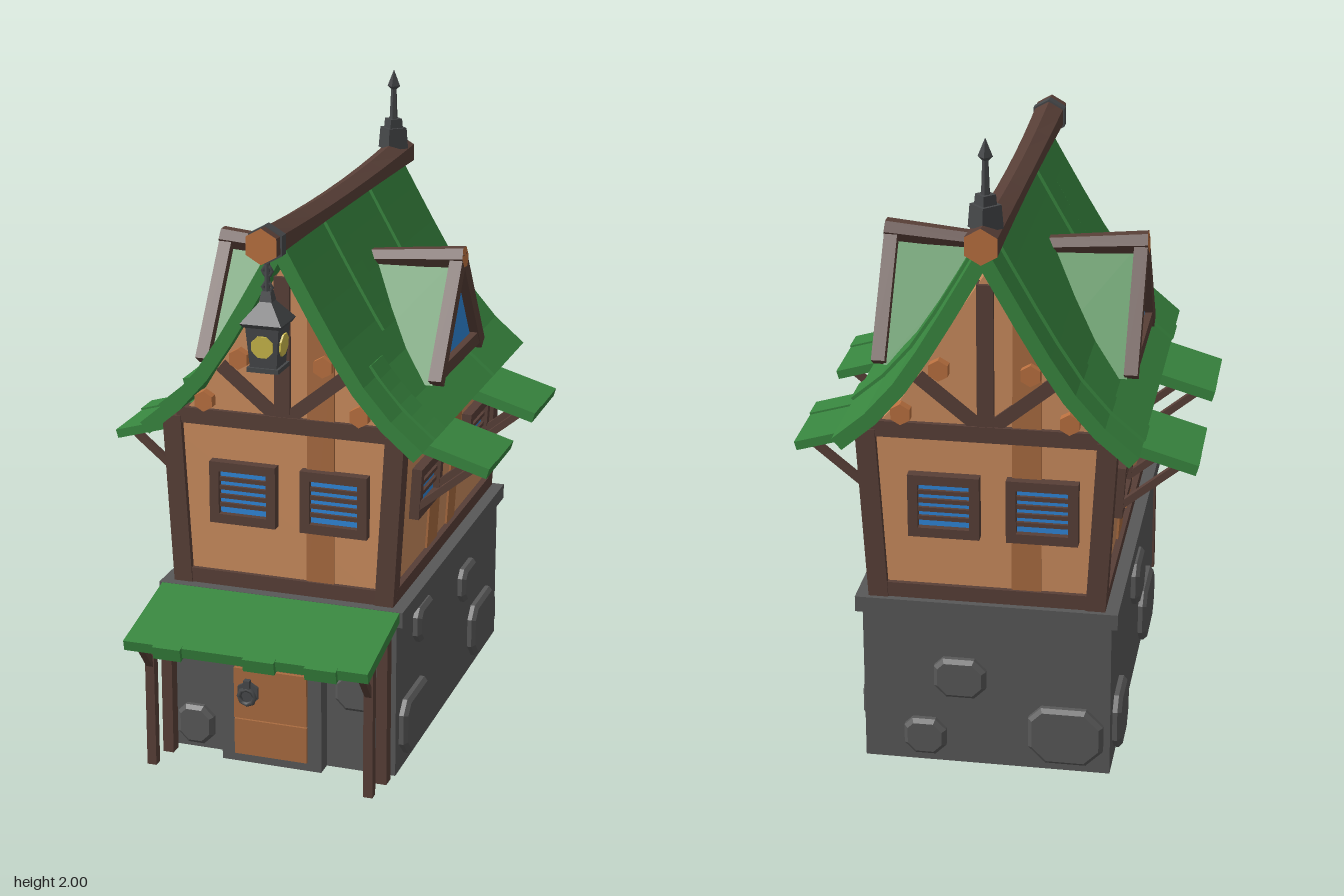
import * as THREE from 'three';

const mat = (name, color) => Object.assign(new THREE.MeshStandardMaterial({ color }), { name });
const M = {
  stone: mat('stone', 0x585858), iron: mat('iron', 0x46484a), timber: mat('timber', 0x583f37),
  wall: mat('wallBoards', 0xca8b5d), plank: mat('darkBoards', 0xa96b40), end: mat('endGrain', 0xb9703f),
  roof: mat('greenRoof', 0x38863f), glass: mat('blueGlass', 0x2f86d8), glow: mat('lampGlow', 0xcdbb4c),
};
const ZC = -0.155; // centre of the upper storey

function add(parent, name, geo, material, x = 0, y = 0, z = 0) {
  const m = new THREE.Mesh(geo, material);
  m.name = name;
  m.position.set(x, y, z);
  parent.add(m);
  return m;
}
function group(parent, name, x = 0, y = 0, z = 0, ry = 0) {
  const g = new THREE.Group();
  g.name = name;
  g.position.set(x, y, z);
  g.rotation.y = ry;
  parent.add(g);
  return g;
}
const box = (p, name, m, w, h, d, x, y, z) => add(p, name, new THREE.BoxGeometry(w, h, d), m, x, y, z);
const flat = (geo) => {
  const g = geo.toNonIndexed();
  g.computeVertexNormals();
  return g;
};
const cyl = (r1, r2, h, n) => flat(new THREE.CylinderGeometry(r1, r2, h, n));

// square beam between two points
function beam(p, name, m, a, b, w, d) {
  const A = new THREE.Vector3(...a), B = new THREE.Vector3(...b), D = B.clone().sub(A);
  const mesh = box(p, name, m, w, D.length(), d, 0, 0, 0);
  mesh.position.copy(A).add(B).multiplyScalar(0.5);
  mesh.quaternion.setFromUnitVectors(new THREE.Vector3(0, 1, 0), D.normalize());
}
function extrude(points, depth) {
  const s = new THREE.Shape(points.map(([x, y]) => new THREE.Vector2(x, y)));
  return new THREE.ExtrudeGeometry(s, { depth, bevelEnabled: false });
}

// curved roof section: a band between two offsets from the slope line
const slope = new THREE.SplineCurve([[0, 1.71], [0.13, 1.48], [0.25, 1.285], [0.35, 1.165], [0.455, 1.075]]
  .map(([x, y]) => new THREE.Vector2(x, y)));
function roofBand(p, name, t0, t1, lo, hi, z0, z1) {
  const n = 6, outer = [], inner = [];
  for (let i = 0; i <= n; i++) {
    const t = Math.min(1, t0 + (t1 - t0) * i / n), q = slope.getPointAt(t), d = slope.getTangentAt(t);
    outer.push([q.x - d.y * hi, q.y + d.x * hi]);
    inner.unshift([q.x - d.y * lo, q.y + d.x * lo]);
  }
  add(p, name, extrude([...outer, ...inner], z1 - z0), M.roof, 0, 0, z0);
}

// framed window with slats, facing +z
function windowUnit(p, x, y, z, ry, w, h, slats) {
  const g = group(p, 'window', x, y, z, ry), f = 0.03;
  box(g, 'glass', M.glass, w - f, h - f, 0.012, 0, 0, 0.006);
  for (const s of [-1, 1]) {
    box(g, 'frameSide', M.timber, f, h, 0.035, s * (w - f) / 2, 0, 0.015);
    box(g, 'frameRail', M.timber, w, f, 0.035, 0, s * (h - f) / 2, 0.015);
  }
  for (let i = 1; i <= slats; i++)
    box(g, 'slat', M.timber, w - f, 0.013, 0.02, 0, (h - 2 * f) * (i / (slats + 1) - 0.5), 0.012);
}

// chamfered block set on a wall facing +z
function stoneBlock(p, [x, y, w, h]) {
  const a = w / 2 - 0.012, b = h / 2 - 0.012, c = Math.min(a, b) * 0.55;
  const s = new THREE.Shape([[a, -b + c], [a, b - c], [a - c, b], [-a + c * 0.7, b], [-a, b - c * 0.7],
    [-a, -b + c], [-a + c, -b], [a - c, -b]].map((q) => new THREE.Vector2(...q)));
  add(p, 'stoneBlock', new THREE.ExtrudeGeometry(s, { depth: 0.02, bevelSize: 0.012, bevelThickness: 0.012, bevelSegments: 1 }),
    M.stone, x, y, 0);
}

function buildBase(root) {
  box(root, 'stoneBase', M.stone, 0.76, 0.51, 1.195, 0, 0.255, -0.1425);
  box(root, 'stoneLedge', M.stone, 0.8, 0.05, 1.215, 0, 0.53, -0.147);
  const sides = [
    [0, 0.5975, [[0.265, 0.27, 0.155, 0.12], [-0.28, 0.085, 0.12, 0.13]]],
    [Math.PI / 2, 0.38, [[-0.3375, 0.43, 0.17, 0.12], [0.1825, 0.36, 0.17, 0.12], [-0.4225, 0.135, 0.28, 0.19], [0.3725, 0.135, 0.28, 0.19]]],
    [Math.PI, 0.5975, [[-0.08, 0.3, 0.16, 0.13], [-0.19, 0.09, 0.13, 0.12], [0.245, 0.125, 0.23, 0.19]]],
    [-Math.PI / 2, 0.38, [[-0.43, 0.125, 0.22, 0.19], [0.02, 0.37, 0.2, 0.15], [0.3, 0.125, 0.28, 0.19]]],
  ];
  for (const [ry, dist, list] of sides) {
    const g = group(root, 'wallStones', 0, 0, -0.1425, ry), face = group(g, 'face', 0, 0, dist - 0.005);
    list.forEach((s) => stoneBlock(face, s));
  }
}

function buildPorch(root) {
  box(root, 'doorSurround', M.stone, 0.33, 0.49, 0.06, -0.01, 0.245, 0.48);
  [[0.09, 0.12], [0.24, 0.17], [0.395, 0.13]].forEach(([y, h], i) =>
    box(root, 'doorBoard', M.plank, 0.24, h, 0.016 + 0.004 * (i % 2), -0.01, y, 0.512));
  const plate = add(root, 'handlePlate', cyl(0.038, 0.038, 0.014, 6), M.iron, -0.08, 0.25, 0.527);
  plate.rotation.x = Math.PI / 2;
  add(root, 'handleRing', new THREE.TorusGeometry(0.026, 0.008, 5, 8), M.iron, -0.08, 0.24, 0.541);
  box(root, 'handleKnob', M.iron, 0.02, 0.03, 0.02, -0.08, 0.28, 0.537);
  // sloping canopy with raised boards
  const g = group(root, 'porchRoof', 0, 0.503, 0.615);
  g.rotation.x = 0.215;
  box(g, 'canopy', M.roof, 0.78, 0.034, 0.325, 0, 0, 0);
  for (const [x, w] of [[-0.245, 0.09], [0.05, 0.1], [0.245, 0.1]])
    box(g, 'canopyBoard', M.roof, w, 0.042, 0.025, x, -0.002, 0.164);
  for (const s of [-1, 1]) {
    box(root, 'frontPost', M.timber, 0.03, 0.46, 0.03, s * 0.355, 0.25, 0.645);
    beam(root, 'postBrace', M.timber, [s * 0.355, 0.36, 0.65], [s * 0.355, 0.465, 0.735], 0.022, 0.022);
    box(root, 'rearPost', M.timber, 0.035, 0.5, 0.042, s * 0.355, 0.25, 0.503);
  }
}

// timbered gable end, facing +z
function buildGable(root, ry) {
  const g = group(root, 'gableEnd', 0, 0, ZC, ry), z = 0.555;
  const board = extrude([[0.075, 0.58], [0.165, 0.58], [0.165, 1.34], [0.08, 1.46]], 0.008);
  add(g, 'darkBoard', board, M.plank, 0, 0, 0.564);
  for (const s of [-1, 1]) {
    beam(g, 'cornerPost', M.timber, [s * 0.33, 0.55, z], [s * 0.36, 1.1, z], 0.06, 0.06);
    beam(g, 'gableBrace', M.timber, [s * 0.01, 1.12, z], [s * 0.2, 1.275, z], 0.042, 0.04);
    for (const [x, y] of [[0.135, 1.305], [0.25, 1.16]]) {
      const log = add(g, 'logEnd', cyl(0.033, 0.033, 0.06, 6), M.end, s * x, y, 0.565);
      log.rotation.x = Math.PI / 2;
    }
  }
  box(g, 'sillBeam', M.timber, 0.66, 0.05, 0.05, 0, 0.577, z);
  box(g, 'tieBeam', M.timber, 0.69, 0.05, 0.05, 0, 1.105, z);
  box(g, 'kingPost', M.timber, 0.05, 0.45, 0.045, 0, 1.345, z);
  windowUnit(g, -0.125, 0.87, 0.565, 0, 0.215, 0.2, 4);
  windowUnit(g, 0.17, 0.87, 0.565, 0, 0.215, 0.2, 4);
}

// one long side with its roof slope, awnings and dormer, facing +x
function buildSide(root, ry, strips) {
  const g = group(root, 'longSide', 0, 0, ZC, ry);
  roofBand(g, 'roofSlope', 0, 1, -0.045, 0, -0.607, 0.607);
  for (const [z0, z1, t0, t1] of strips) roofBand(g, 'roofBoard', t0, t1, -0.02, 0.01, z0, z1);

  const wall = group(g, 'leaningWall', 0.34, 0.55, 0);
  wall.rotation.z = -0.057;
  box(wall, 'sideSill', M.timber, 0.04, 0.05, 1.1, 0, 0.027, 0);
  box(wall, 'darkBoard', M.plank, 0.014, 0.52, 0.115, 0, 0.26, 0.127);
  box(wall, 'darkBoard', M.plank, 0.014, 0.52, 0.09, 0, 0.26, -0.09);
  for (const z of [0.28, -0.29]) {
    windowUnit(wall, 0, 0.315, z, Math.PI / 2, 0.25, 0.165, 2);
    const a = group(g, 'awning', 0.49, 1.0, z);
    a.rotation.z = -0.284;
    box(a, 'awningRoof', M.roof, 0.25, 0.028, 0.29, 0, 0, 0);
    box(a, 'awningBoard', M.roof, 0.24, 0.034, 0.09, 0.005, 0.003, 0.11);
    for (const s of [-1, 1])
      beam(g, 'awningStrut', M.timber, [0.355, 0.8, z + s * 0.11], [0.555, 0.965, z + s * 0.11], 0.022, 0.022);
  }

  // triangular dormer
  const body = extrude([[-0.235, 1.165], [0.235, 1.165], [0, 1.51]], 0.305).rotateY(Math.PI / 2);
  add(g, 'dormerRoof', body, M.roof, 0.07, 0, 0);
  const pane = extrude([[-0.19, 1.19], [0.19, 1.19], [0, 1.47]], 0.008).rotateY(Math.PI / 2);
  add(g, 'dormerGlass', pane, M.glass, 0.375, 0, 0);
  for (const s of [-1, 1])
    beam(g, 'dormerRafter', M.timber, [0.388, 1.525, 0], [0.388, 1.175, s * 0.24], 0.042, 0.045);
  box(g, 'dormerSill', M.timber, 0.036, 0.042, 0.42, 0.388, 1.205, 0);
  const ridge = add(g, 'dormerRidge', cyl(0.036, 0.03, 0.31, 6), [M.timber, M.end, M.timber], 0.255, 1.512, 0);
  ridge.rotation.z = -Math.PI / 2 + 0.08;
}

function buildRidge(root) {
  // sagging hexagonal ridge log, thicker at the ends
  const geo = new THREE.CylinderGeometry(0.055, 0.055, 1.385, 6, 8).rotateX(Math.PI / 2);
  const p = geo.attributes.position;
  for (let i = 0; i < p.count; i++) {
    const u = p.getZ(i) / 0.6925, k = 0.68 + 0.32 * u * u;
    p.setXYZ(i, p.getX(i) * (0.85 + 0.15 * u * u), p.getY(i) * k + 0.01 * u * u, p.getZ(i));
  }
  add(root, 'ridgeLog', flat(geo), [M.timber, M.end, M.end], 0, 1.695, -0.0975);

  // finial
  const f = group(root, 'finial', 0, 0, -0.705);
  add(f, 'finialBase', cyl(0.046, 0.052, 0.07, 4), M.iron, 0, 1.77, 0);
  add(f, 'finialCollar', cyl(0.03, 0.034, 0.04, 4), M.iron, 0, 1.815, 0);
  add(f, 'finialRod', cyl(0.009, 0.014, 0.12, 6), M.iron, 0, 1.885, 0);
  add(f, 'spearTip', cyl(0, 0.022, 0.055, 4), M.iron, 0, 1.9725, 0);
  add(f, 'spearBase', cyl(0.022, 0.006, 0.015, 4), M.iron, 0, 1.938, 0);
}

function buildLantern(root) {
  const g = group(root, 'lantern', 0, 0, 0.542);
  const strap = add(g, 'strap', cyl(0.06, 0.06, 0.035, 6), M.iron, 0, 1.702, 0);
  strap.rotation.x = Math.PI / 2;
  add(g, 'hanger', cyl(0.008, 0.008, 0.14, 6), M.iron, 0, 1.6, 0);
  for (const y of [1.62, 1.57]) add(g, 'chainLink', new THREE.TorusGeometry(0.015, 0.006, 4, 6), M.iron, 0, y, 0);
  const square = (name, r1, r2, h, y) => {
    add(g, name, cyl(r1 * Math.SQRT2, r2 * Math.SQRT2, h, 4), M.iron, 0, y, 0).rotation.y = Math.PI / 4;
  };
  square('capTop', 0.014, 0.02, 0.03, 1.545);
  square('cap', 0.018, 0.065, 0.06, 1.5);
  square('capRim', 0.065, 0.058, 0.012, 1.464);
  square('lampBody', 0.052, 0.042, 0.125, 1.396);
  square('lampFoot', 0.05, 0.05, 0.014, 1.327);
  for (let i = 0; i < 4; i++) {
    const side = group(g, 'lampSide', 0, 0, 0, i * Math.PI / 2);
    const pane = add(side, 'lampPane', cyl(0.036, 0.036, 0.008, 8), M.glow, 0, 1.4, 0.049);
    pane.rotation.set(Math.PI / 2 + 0.08, Math.PI / 8, 0);
  }
}

export function createModel() {
  const root = new THREE.Group();
  root.name = 'timberHouse';
  buildBase(root);
  buildPorch(root);
  const half = [[0.34, 0.55], [0.37, 1.06], [0.25, 1.2], [0.13, 1.4]];
  const profile = [...half, [0, 1.6], ...half.map(([x, y]) => [-x, y]).reverse()];
  add(root, 'upperWalls', extrude(profile, 1.13), M.wall, 0, 0, ZC - 0.565);
  buildGable(root, 0);
  buildGable(root, Math.PI);
  buildSide(root, 0, [[0.375, 0.49, 0.62, 1], [0.145, 0.26, 0, 0.55], [-0.315, -0.2, 0, 1]]);
  buildSide(root, Math.PI, [[-0.445, -0.335, 0, 1], [-0.335, -0.215, 0, 0.55], [0.385, 0.495, 0, 1]]);
  buildRidge(root);
  buildLantern(root);
  return root;
}
